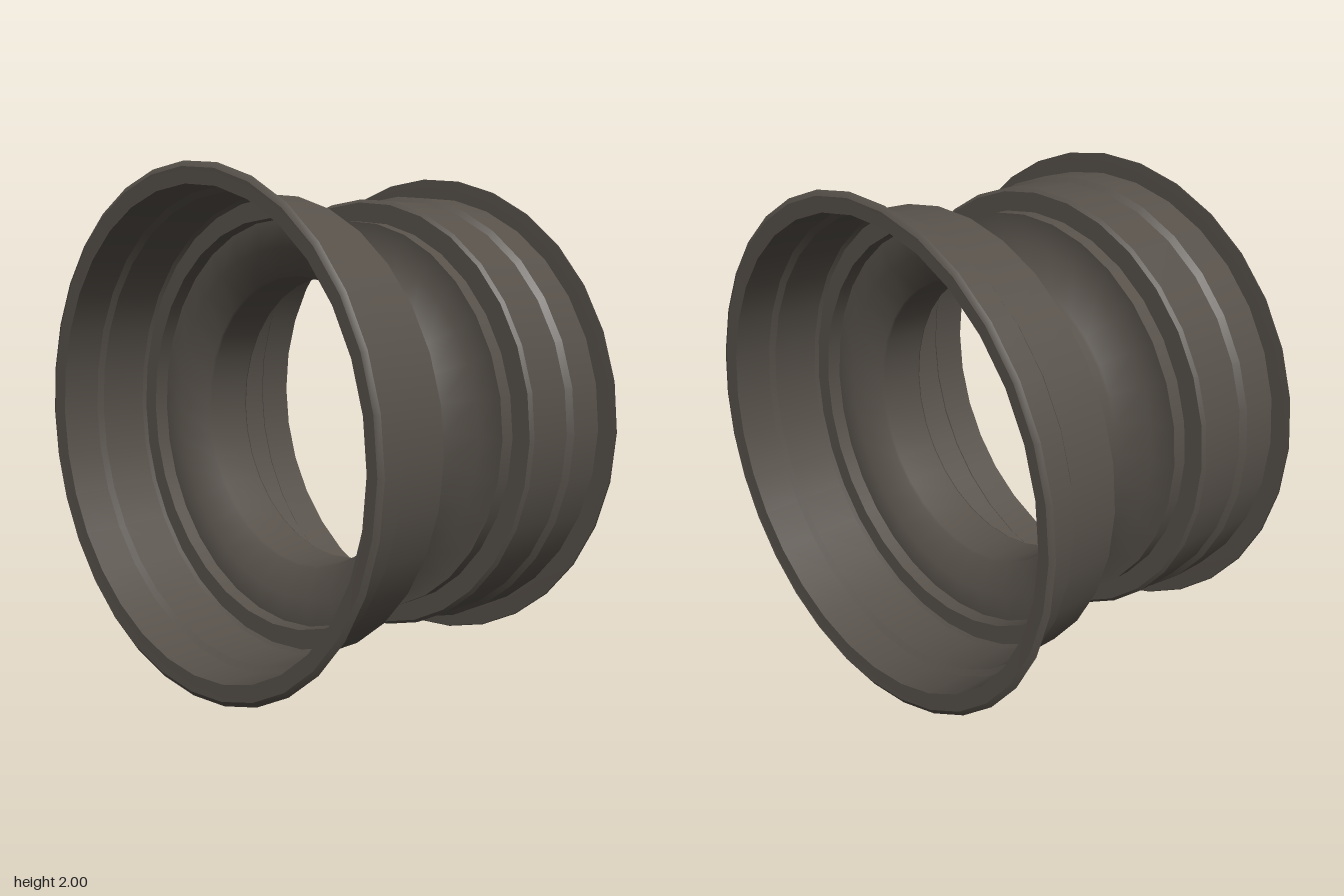
import * as THREE from 'three';

const SIDES = 32;

export function createModel() {
  const metal = new THREE.MeshStandardMaterial({ color: 0x57514a, side: THREE.DoubleSide });
  metal.name = 'dark metal';
  const rim = new THREE.Group();
  rim.name = 'wheelRim';

  // Revolves [x, radius] points, given by rising x, about the axle
  function ring(name, profile) {
    const points = profile.map(([x, r]) => new THREE.Vector2(r, x));
    const geometry = new THREE.LatheGeometry(points, SIDES).rotateZ(-Math.PI / 2);
    const mesh = new THREE.Mesh(geometry, metal);
    mesh.name = name;
    mesh.position.y = 1;
    rim.add(mesh);
  }

  // Matching rings on both ends of the wheel
  function pair(name, profile) {
    ring('left' + name, profile);
    ring('right' + name, profile.map(([x, r]) => [-x, r]).reverse());
  }

  // Drop centre: narrow waist with flared walls
  ring('waist', [
    [-0.18, 0.81], [-0.18, 0.70], [-0.105, 0.592], [-0.095, 0.586],
    [0.095, 0.586], [0.105, 0.592], [0.18, 0.70], [0.18, 0.81],
  ]);

  // Shoulder beside the waist and the step up to the barrel
  pair('Shoulder', [[0.18, 0.81], [0.24, 0.81]]);
  pair('StepWall', [[0.24, 0.81], [0.24, 0.887]]);

  // Tyre seat with its small bevel and raised bead
  pair('BarrelBevel', [[0.24, 0.887], [0.252, 0.90]]);
  pair('Barrel', [[0.252, 0.90], [0.455, 0.90]]);
  pair('BeadRamp', [[0.455, 0.90], [0.475, 0.92]]);
  pair('BeadSeat', [[0.475, 0.92], [0.635, 0.92]]);

  // Outer flange and its rolled lip
  pair('Flange', [[0.635, 0.92], [0.635, 0.995], [0.638, 1.0], [0.65, 0.98]]);

  return rim;
}
